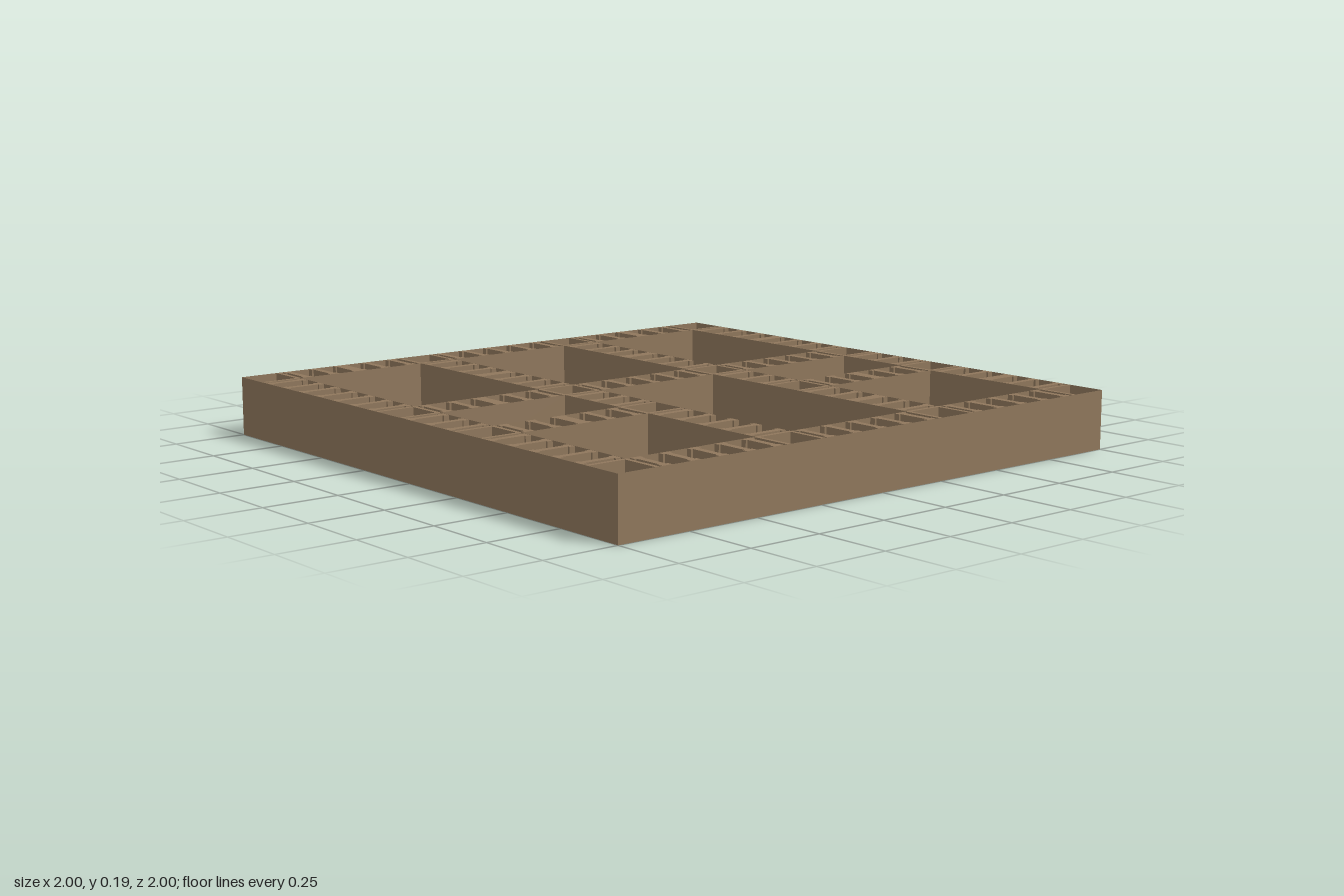
import * as THREE from 'three';

const H = 0.195;      // wall height
const HALF = 0.07;    // half of a wall's thickness
const COLS = [-0.93, -0.3125, 0.3125, 0.93];   // centre lines of walls running along z
const ROWS = [-0.93, -0.107, 0.308, 0.93];     // centre lines of walls running along x

export function createModel() {
  const group = new THREE.Group();
  const timber = new THREE.MeshStandardMaterial({ color: 0x8f775c });
  timber.name = 'timber brown';
  const panel = new THREE.MeshStandardMaterial({ color: 0x8f775c, side: THREE.DoubleSide });
  panel.name = 'panel brown';

  function add(name, geometry, material, x, z, turn = 0) {
    const mesh = new THREE.Mesh(geometry, material);
    mesh.name = name;
    mesh.position.set(x, 0, z);
    mesh.rotation.y = turn;
    group.add(mesh);
  }

  // I-shaped stud spanning the wall along z
  function studGeometry(web, flange) {
    const w = web / 2, f = flange / 2, e = 0.069, d = 0.05;
    const shape = new THREE.Shape([
      [-f, -e], [f, -e], [f, -d], [w, -d], [w, d], [f, d],
      [f, e], [-f, e], [-f, d], [-w, d], [-w, -d], [-f, -d],
    ].map(([x, y]) => new THREE.Vector2(x, y)));
    return new THREE.ExtrudeGeometry(shape, { depth: H, bevelEnabled: false }).rotateX(-Math.PI / 2);
  }
  const thinStud = studGeometry(0.022, 0.036);
  const wideStud = studGeometry(0.042, 0.053);
  const post = new THREE.BoxGeometry(0.014, H, 0.138).translate(0, H / 2, 0);

  // One wall between two junctions: studs at even spacing and a post at each end
  function wall(from, to, line, alongZ, isWide) {
    const turn = alongZ ? Math.PI / 2 : 0;
    const place = (name, geo, t) =>
      add(name, geo, timber, alongZ ? line : t, alongZ ? t : line, turn);
    place('endPost', post, from + 0.067);
    place('endPost', post, to - 0.067);
    const first = from + 0.102, last = to - 0.106;
    const n = Math.round((last - first) / 0.1035);
    for (let i = 0; i <= n; i++) {
      const t = first + (last - first) * i / n;
      const wide = isWide(t);
      place(wide ? 'jointStud' : 'stud', wide ? wideStud : thinStud, t);
    }
  }
  const near = (a, b) => Math.abs(a - b) < 0.04;

  // Walls running along x; the middle room spans the third row
  ROWS.forEach((z, j) => {
    for (let i = 0; i < 3; i++) {
      if (j === 2 && i === 1) continue;
      wall(COLS[i], COLS[i + 1], z, false, t =>
        (j < 3 && near(t, -0.62)) || ((j === 0 || j === 2) && near(t, 0.62)));
    }
  });
  // Walls running along z
  COLS.forEach((x, i) => {
    for (let j = 0; j < 3; j++) {
      wall(ROWS[j], ROWS[j + 1], x, true, t =>
        (i > 0 && near(t, -0.52)) || (i > 1 && near(t, 0.62)));
    }
  });

  // Thin skins: four upright sheets around a rectangle
  function skin(name, x0, x1, z0, z1, inward) {
    const cx = (x0 + x1) / 2, cz = (z0 + z1) / 2, flip = inward ? Math.PI : 0;
    const alongX = new THREE.PlaneGeometry(x1 - x0, H).translate(0, H / 2, 0);
    const alongZ = new THREE.PlaneGeometry(z1 - z0, H).translate(0, H / 2, 0);
    add(name, alongX, panel, cx, z1, flip);
    add(name, alongX, panel, cx, z0, Math.PI + flip);
    add(name, alongZ, panel, x1, cz, Math.PI / 2 + flip);
    add(name, alongZ, panel, x0, cz, -Math.PI / 2 + flip);
  }
  skin('outerPanel', -1, 1, -1, 1, false);
  // Rooms as [column, first row, last row]
  [[0, 0, 1], [1, 0, 1], [2, 0, 1], [0, 1, 2], [2, 1, 2], [0, 2, 3], [2, 2, 3], [1, 1, 3]]
    .forEach(([c, r0, r1]) => skin('roomPanel',
      COLS[c] + HALF, COLS[c + 1] - HALF, ROWS[r0] + HALF, ROWS[r1] - HALF, true));

  return group;
}
